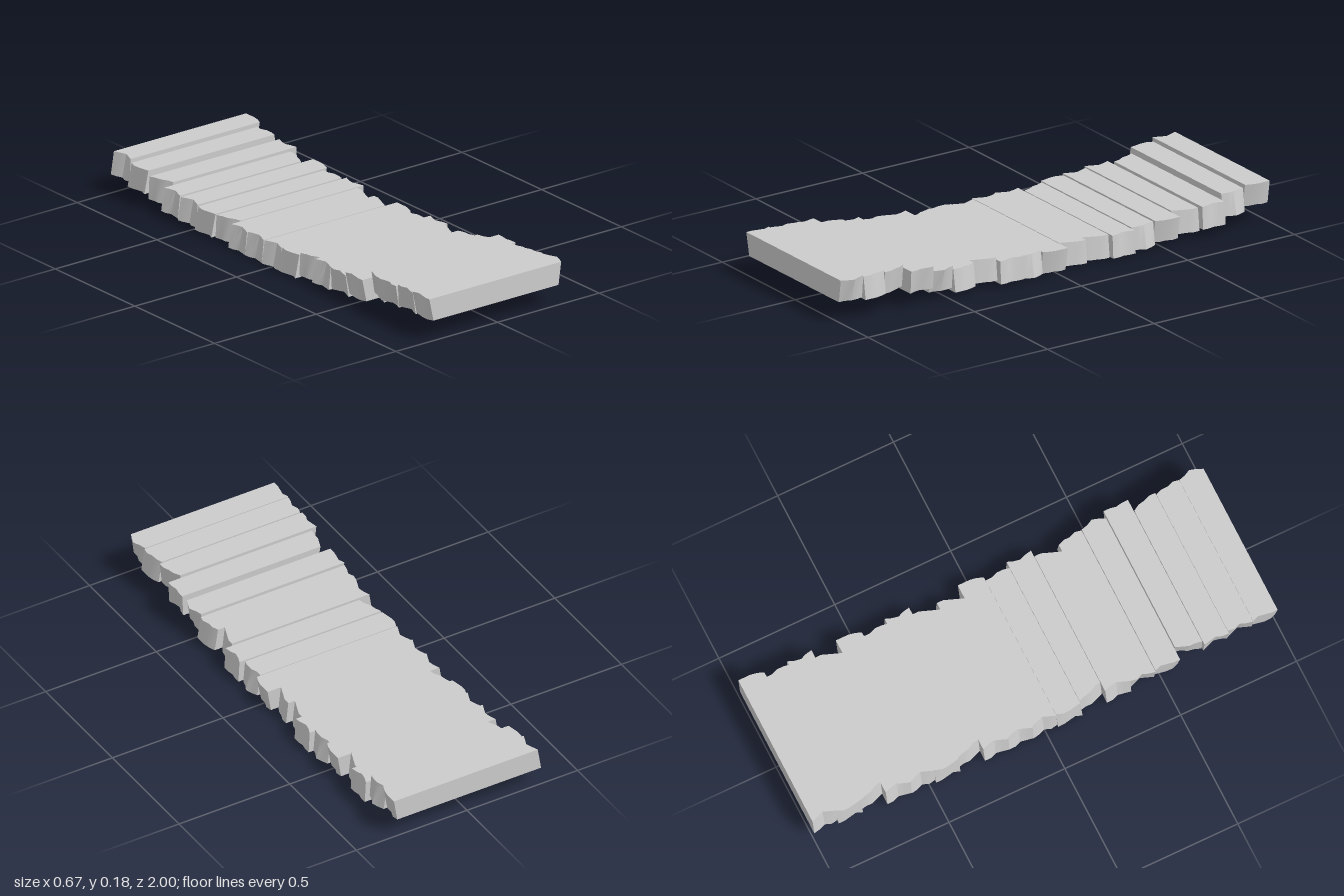
import * as THREE from 'three';
import { toCreasedNormals } from 'three/addons/utils/BufferGeometryUtils.js';

const COUNT = 19, DEPTH = 2 / COUNT, THICK = 0.093;

// Chipped end outlines of four plank cuts: x at five steps from back to front
const cuts = [
  { rt: [.33, .33, .33, .325, .315], rb: [.315, .32, .31, .31, .30],
    lt: [.32, .31, .30, .31, .32], lb: [.335, .33, .32, .33, .325] },
  { rt: [.30, .30, .31, .31, .305], rb: [.313, .325, .333, .32, .313],
    lt: [.315, .325, .325, .32, .315], lb: [.335, .335, .33, .325, .335] },
  { rt: [.33, .32, .315, .325, .33], rb: [.335, .335, .33, .335, .335],
    lt: [.31, .30, .295, .28, .275], lb: [.315, .31, .31, .30, .29] },
  { rt: [.30, .30, .29, .28, .27], rb: [.31, .31, .30, .295, .28],
    lt: [.32, .31, .305, .315, .325], lb: [.335, .335, .325, .33, .335] },
];

// Back to front: which cut each plank uses, and the height of its top
const order = [0, 1, 2, 3, 0, 1, 2, 3, 3, 0, 1, 2, 3, 0, 1, 2, 3, 0, 1];
const tops = [.172, .155, .13, .118, .112, .105, .10, .097, .097, .095,
  .098, .105, .115, .115, .128, .155, .168, .174, .178];
const FIRST_FLIPPED = 13; // planks from here on are laid upside down

function plankGeometry({ rt, rb, lt, lb }) {
  const steps = rt.length, pos = [], index = [];
  // Cross-section loop: top left, top right, bottom right, bottom left
  for (let i = 0; i < steps; i++) {
    const z = (i / (steps - 1) - 0.5) * DEPTH, h = THICK / 2;
    pos.push(-lt[i], h, z, rt[i], h, z, rb[i], -h, z, -lb[i], -h, z);
  }
  for (let i = 0; i < steps - 1; i++) {
    for (let k = 0; k < 4; k++) {
      const a = i * 4 + k, b = i * 4 + (k + 1) % 4;
      index.push(a, a + 4, b + 4, a, b + 4, b);
    }
  }
  const e = (steps - 1) * 4;
  index.push(0, 1, 2, 0, 2, 3, e, e + 2, e + 1, e, e + 3, e + 2);
  const geo = new THREE.BufferGeometry();
  geo.setAttribute('position', new THREE.Float32BufferAttribute(pos, 3));
  geo.setIndex(index);
  return toCreasedNormals(geo, 0.7);
}

export function createModel() {
  const bridge = new THREE.Group();
  bridge.name = 'plankBridge';
  const wood = new THREE.MeshStandardMaterial({ color: 0xcccccc });
  const geometries = cuts.map(plankGeometry);

  // Planks laid edge to edge along a sagging line
  order.forEach((cut, i) => {
    const plank = new THREE.Mesh(geometries[cut], wood);
    plank.name = `plank${i + 1}`;
    plank.position.set(0, tops[i] - THICK / 2, -1 + (i + 0.5) * DEPTH);
    if (i >= FIRST_FLIPPED) plank.rotation.x = Math.PI;
    bridge.add(plank);
  });
  return bridge;
}
